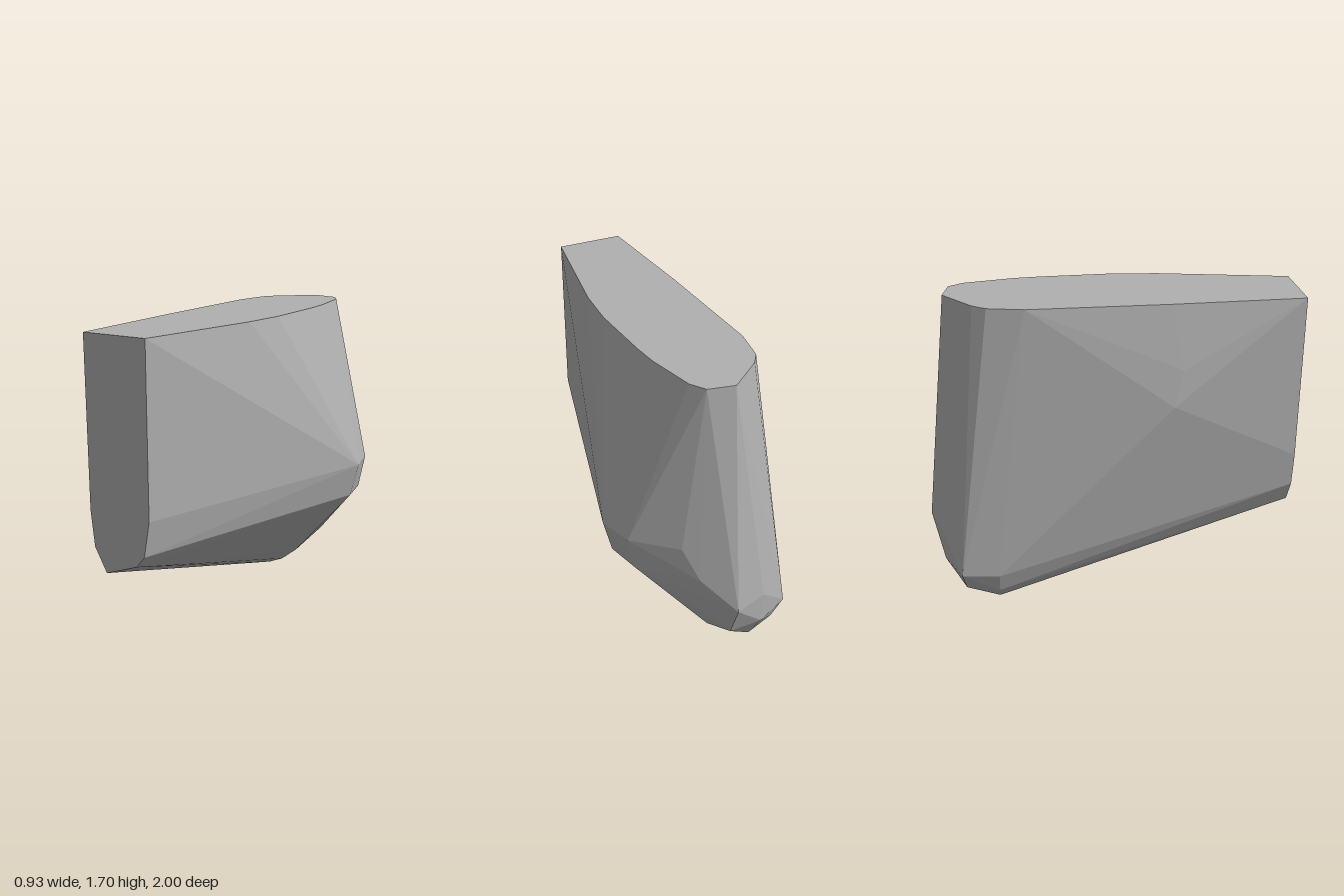
import * as THREE from 'three';
import { ConvexGeometry } from 'three/addons/geometries/ConvexGeometry.js';

export function createModel() {
  const group = new THREE.Group();
  const grey = new THREE.MeshStandardMaterial({ color: 0xb0b0b0 });
  grey.name = 'stone grey';

  // flat top outline at y = 1.7: x, z
  const top = [
    [-0.34, 0.3], [-0.33, -0.45], [-0.29, -0.64], [-0.24, -0.71], [-0.05, -0.86],
    [0.09, -0.83], [0.14, -0.75], [0.19, -0.48], [0.2, -0.33], [0.205, 0.05], [0.18, 0.3],
  ].map(([x, z]) => [x, 1.7, z]);

  // flat front outline at z = 1: x, y
  const front = [
    [-0.33, 1.7], [-0.33, 0.8], [-0.31, 0.61], [-0.24, 0.48],
    [-0.05, 0.55], [0, 0.61], [0.035, 0.8], [0.04, 1.7],
  ].map(([x, y]) => [x, y, 1]);

  // bulging side corner
  const bulge = [
    [0.46, 0.8, -0.45], [0.41, 0.61, -0.45], [0.41, 0.8, -0.64], [0.37, 0.61, -0.64],
  ];

  // shallow opposite side
  const flank = [
    [-0.42, 1.37, 0.35], [-0.455, 1.18, 0.3], [-0.465, 0.23, -0.64], [-0.44, 0.23, -0.84],
  ];

  // rounded back
  const back = [
    [0.2, 0.8, -0.83], [0.14, 1.18, -0.83], [0.12, 0.61, -0.89], [-0.05, 0.42, -1],
    [-0.24, 0.42, -0.94], [-0.05, 0.23, -0.93], [-0.24, 0.23, -0.93], [0.03, 0.23, -0.82],
  ];

  // blunt lower tip
  const tip = [
    [-0.24, 0, -0.64], [-0.24, 0.05, -0.82], [-0.15, 0.04, -0.64], [-0.36, 0.04, -0.64],
    [-0.43, 0.12, -0.64], [-0.05, 0.12, -0.64], [-0.38, 0.12, -0.82],
  ];

  const points = [...top, ...front, ...bulge, ...flank, ...back, ...tip]
    .map((p) => new THREE.Vector3(...p));
  const body = new THREE.Mesh(new ConvexGeometry(points), grey);
  body.name = 'facetedBlock';
  group.add(body);
  return group;
}
